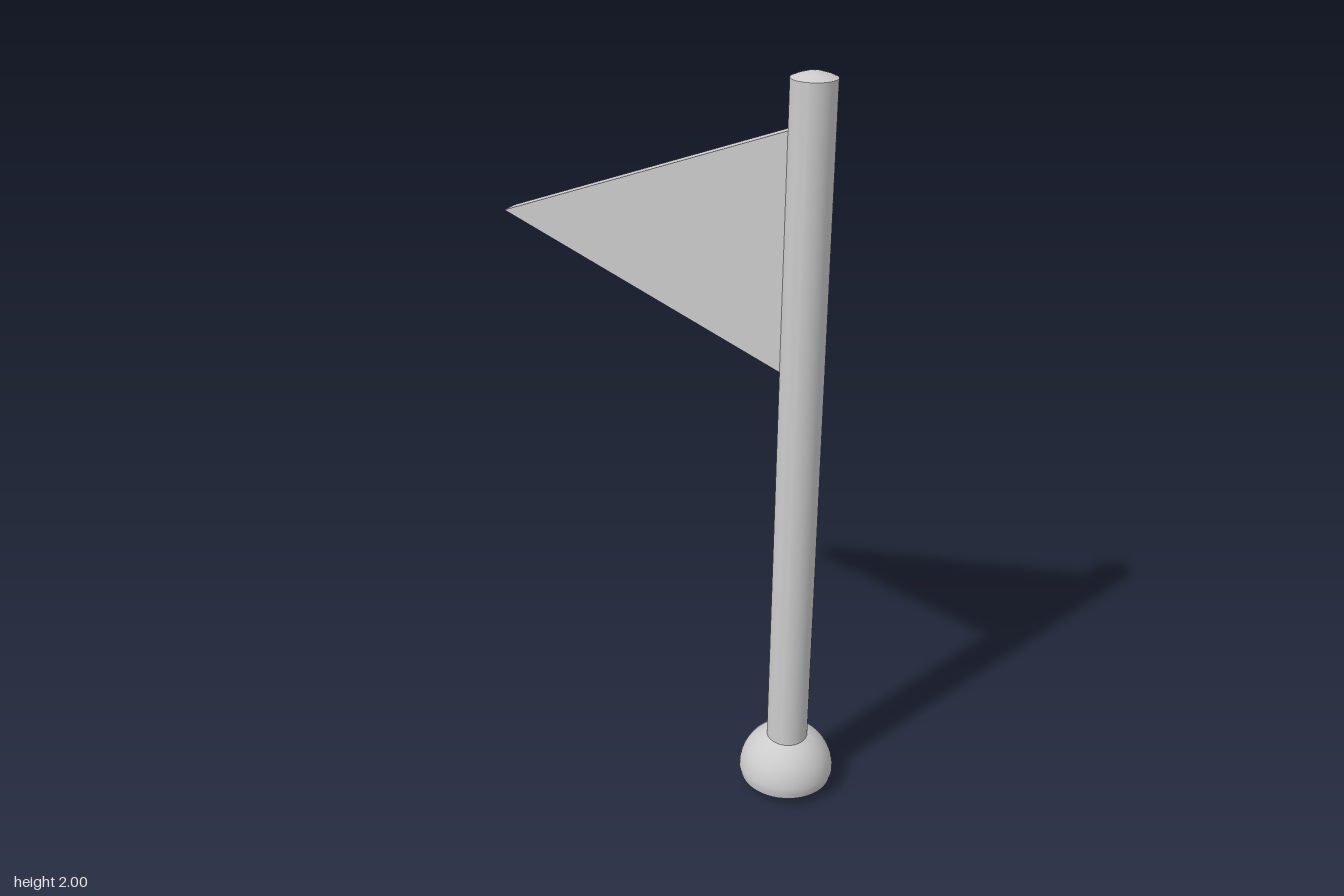
import * as THREE from 'three';
import { toCreasedNormals } from 'three/addons/utils/BufferGeometryUtils.js';

export function createModel() {
  const group = new THREE.Group();
  const material = new THREE.MeshStandardMaterial({ color: 0xcccccc });

  const add = (name, geometry, x = 0, y = 0, z = 0) => {
    const mesh = new THREE.Mesh(toCreasedNormals(geometry, 0.6), material);
    mesh.name = name;
    mesh.position.set(x, y, z);
    group.add(mesh);
    return mesh;
  };
  const lathe = (points) =>
    new THREE.LatheGeometry(points.map(([r, y]) => new THREE.Vector2(r, y)), 48);

  // Weighted foot: shallow bowl underneath, hemisphere above
  const foot = [[0, 0], [0.05, 0.006], [0.1, 0.02], [0.125, 0.03]];
  for (let i = 0; i <= 16; i++) {
    const a = (i / 16) * Math.PI / 2;
    foot.push([i === 16 ? 0 : 0.13 * Math.cos(a), 0.05 + 0.13 * Math.sin(a)]);
  }
  add('base', lathe(foot), 0.35, 0, 0);

  // Pole with a slightly domed top, leaning back a touch
  const pole = add('pole', lathe([
    [0, 0], [0.056, 0], [0.056, 1.885], [0.04, 1.892], [0.02, 1.898], [0, 1.9],
  ]), 0.353, 0.1, 0.007);
  pole.rotation.x = -0.004;

  // Solid triangular pennant, its hoist edge sunk into the pole
  const pennant = new THREE.Shape([
    new THREE.Vector2(0.31, 1.865),
    new THREE.Vector2(-0.48, 1.56),
    new THREE.Vector2(0.31, 1.255),
  ]);
  add('flag', new THREE.ExtrudeGeometry(pennant, { depth: 0.05, bevelEnabled: false }), 0, 0, -0.023);

  return group;
}
